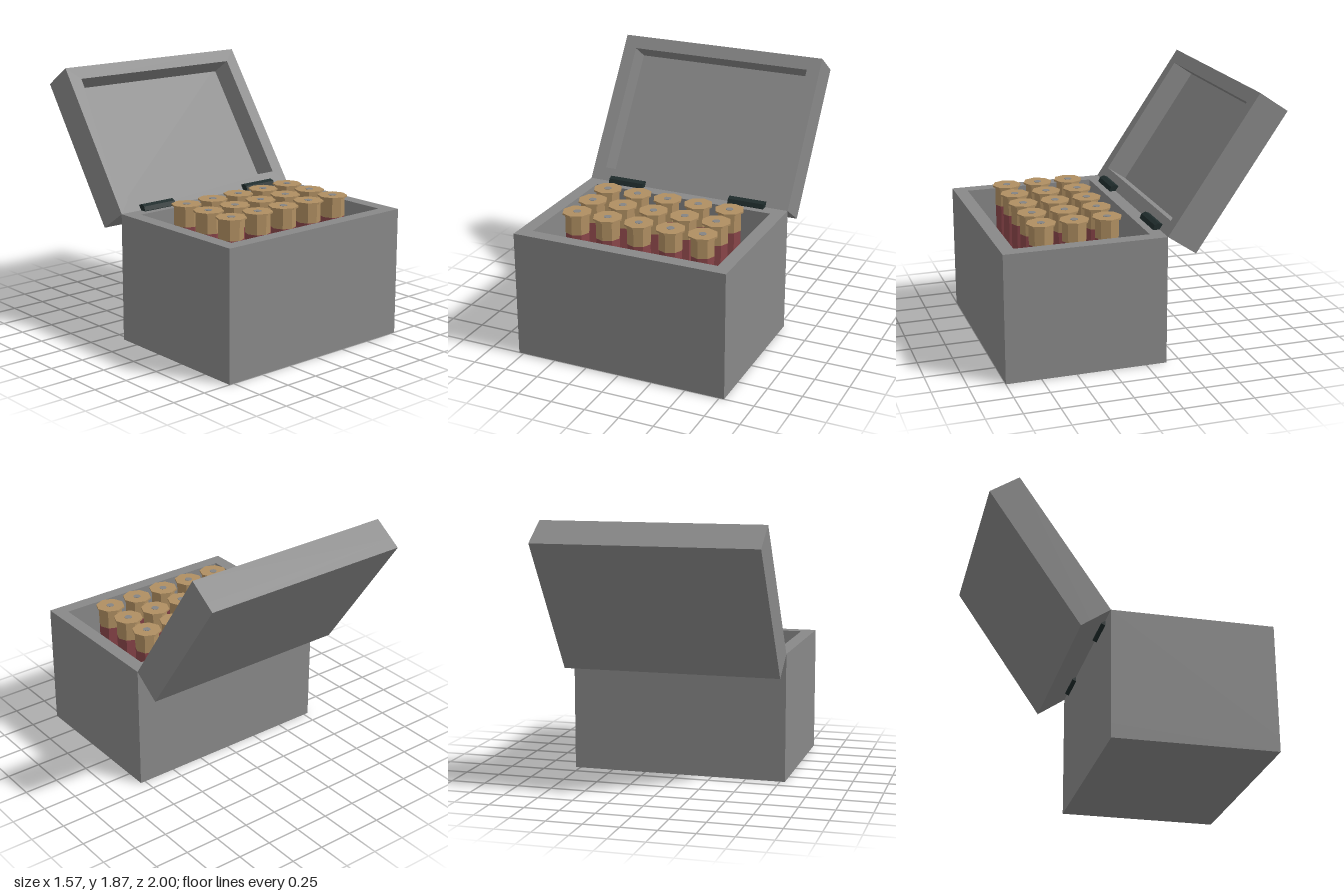
import * as THREE from 'three';

const flat = (name, color) => {
  const m = new THREE.MeshStandardMaterial({ color });
  m.name = name;
  return m;
};

export function createModel() {
  const casing = flat('greyCasing', 0x888888);
  const brass = flat('brass', 0xb08f62);
  const hull = flat('redHull', 0x8a4549);
  const hingeDark = flat('darkHinge', 0x1f2c2c);
  const primerGrey = flat('primerGrey', 0x848484);

  const model = new THREE.Group();
  model.name = 'ammunitionBox';

  const add = (parent, name, geometry, material, x = 0, y = 0, z = 0) => {
    const mesh = new THREE.Mesh(geometry, material);
    mesh.name = name;
    mesh.position.set(x, y, z);
    parent.add(mesh);
    return mesh;
  };

  const rectangle = (path, w, h) => path
    .moveTo(-w / 2, -h / 2).lineTo(w / 2, -h / 2)
    .lineTo(w / 2, h / 2).lineTo(-w / 2, h / 2).closePath();

  // Open tray: a slab at z = 0 with a walled frame opening towards +z
  const WALL = 0.097;
  const tray = (name, w, h, depth, floor) => {
    const group = new THREE.Group();
    group.name = name;
    const outline = new THREE.Shape();
    const opening = new THREE.Path();
    rectangle(outline, w, h);
    rectangle(opening, w - 2 * WALL, h - 2 * WALL);
    outline.holes.push(opening);
    const frame = new THREE.ExtrudeGeometry(outline, { depth: depth - floor, bevelEnabled: false });
    add(group, name + 'Walls', frame, casing, 0, 0, floor);
    add(group, name + 'Floor', new THREE.BoxGeometry(w, h, floor), casing, 0, 0, floor / 2);
    model.add(group);
    return group;
  };

  // Box, opening upwards
  const box = tray('box', 1.572, 1.148, 0.92, 0.1);
  box.rotation.x = -Math.PI / 2;
  box.position.set(0, 0, 0.426);

  // Lid, leaning back from the rear top edge
  const lid = tray('lid', 1.572, 1.148, 0.248, 0.078);
  const lidPivot = new THREE.Group();
  lidPivot.name = 'lidPivot';
  lidPivot.position.set(0, 0.92, -0.148);
  lidPivot.rotation.x = -0.597;
  lid.position.set(0, 0.574, -0.248);
  lidPivot.add(lid);
  model.add(lidPivot);

  // Hinge barrels
  const barrel = new THREE.CylinderGeometry(0.042, 0.042, 0.275, 8).toNonIndexed();
  barrel.computeVertexNormals();
  barrel.rotateZ(Math.PI / 2);
  for (const side of [-1, 1]) {
    add(model, side > 0 ? 'leftHinge' : 'rightHinge', barrel, hingeDark, side * 0.478, 0.924, -0.143);
  }

  // Eight-sided cartridges standing base-up in three rows of five
  const prism = (radius, height) => {
    const g = new THREE.CylinderGeometry(radius, radius, height, 8).toNonIndexed();
    g.computeVertexNormals();
    return g;
  };
  const hullGeo = prism(0.085, 0.76);
  const headGeo = prism(0.087, 0.14);
  const rimGeo = prism(0.105, 0.012);
  const primerGeo = prism(0.028, 0.004);
  for (const z of [0.185, 0.42, 0.655]) {
    for (const x of [-0.475, -0.2375, 0, 0.2375, 0.475]) {
      const cartridge = new THREE.Group();
      cartridge.name = 'cartridge';
      cartridge.position.set(x, 0, z);
      add(cartridge, 'hull', hullGeo, hull, 0, 0.48, 0);
      add(cartridge, 'brassHead', headGeo, brass, 0, 0.93, 0);
      add(cartridge, 'rim', rimGeo, brass, 0, 1.003, 0);
      add(cartridge, 'primer', primerGeo, primerGrey, 0, 1.009, 0);
      model.add(cartridge);
    }
  }

  return model;
}
